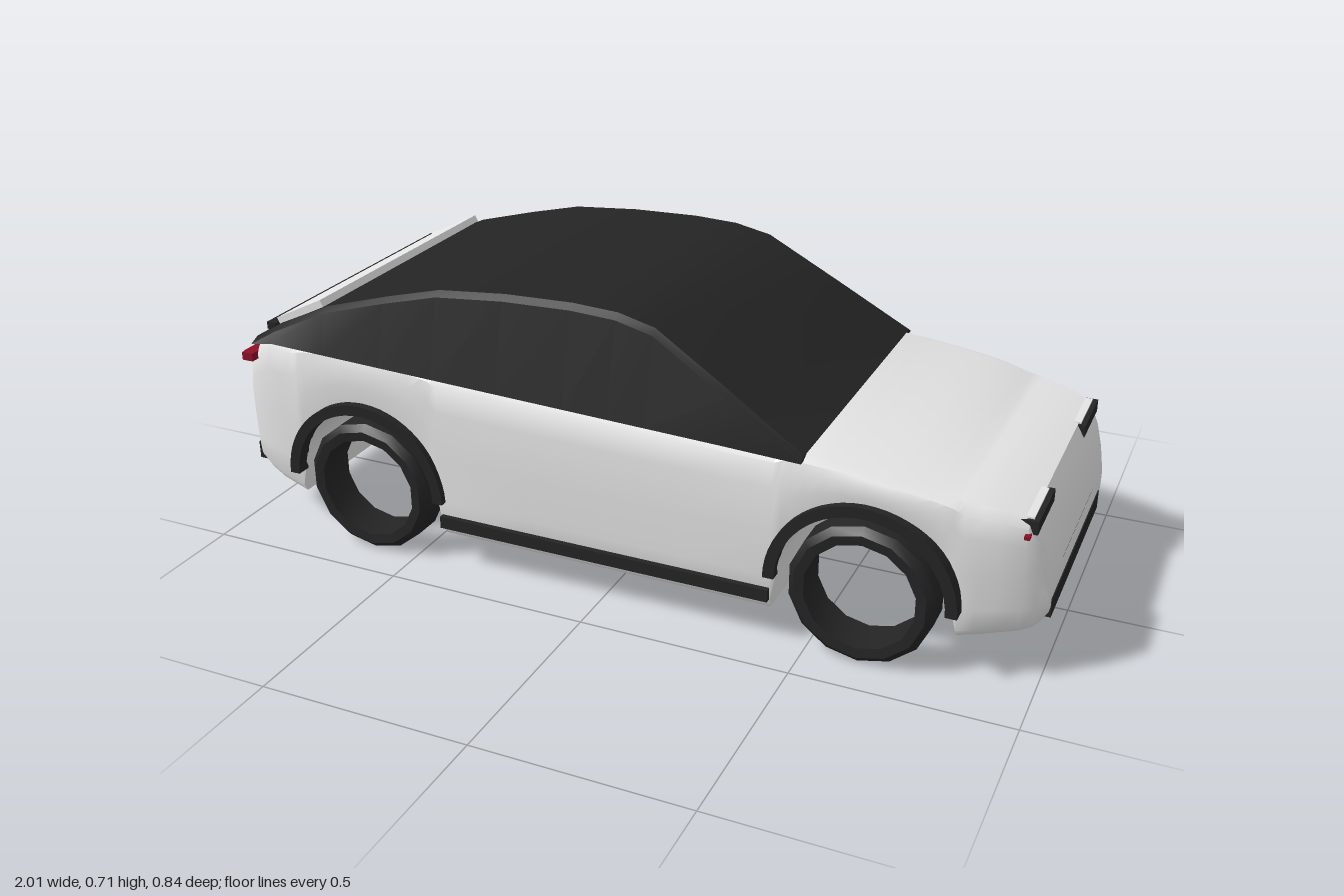
import * as THREE from 'three';
import { toCreasedNormals } from 'three/addons/utils/BufferGeometryUtils.js';

const mat = (name, color) => {
  const m = new THREE.MeshStandardMaterial({ color });
  m.name = name;
  return m;
};

// Skin a list of equal-length [x, y, z] rings, ordered from -x to +x, with fan caps
function loft(rings, crease) {
  const n = rings[0].length, pos = rings.flat(2), idx = [];
  for (let i = 0; i < rings.length - 1; i++) {
    for (let j = 0; j < n; j++) {
      const a = i * n + j, b = i * n + (j + 1) % n;
      idx.push(a, a + n, b + n, a, b + n, b);
    }
  }
  const last = (rings.length - 1) * n;
  for (let j = 1; j < n - 1; j++) {
    idx.push(0, j, j + 1, last, last + j + 1, last + j);
  }
  const g = new THREE.BufferGeometry();
  g.setAttribute('position', new THREE.Float32BufferAttribute(pos, 3));
  g.setIndex(idx);
  return toCreasedNormals(g, crease);
}

// Linear interpolation in a list of [x, value]
function along(table, x) {
  for (let i = 1; i < table.length; i++) {
    const [x0, v0] = table[i - 1], [x1, v1] = table[i];
    if (x <= x1) return v0 + (v1 - v0) * (x - x0) / (x1 - x0);
  }
  return table[table.length - 1][1];
}

// Mirror a right-hand half section [z, y] into a full ring at x
const ring = (x, half) => [
  ...half.map(([z, y]) => [x, y, z]),
  ...half.slice().reverse().map(([z, y]) => [x, y, -z]),
];

export function createModel() {
  const car = new THREE.Group();
  const white = mat('white paint', 0xe4e4e4);
  const black = mat('black trim', 0x242424);
  const grey = mat('wheel grey', 0x8c969d);
  const red = mat('lamp red', 0x8c1026);

  const add = (name, geo, material, x = 0, y = 0, z = 0, parent = car) => {
    const m = new THREE.Mesh(geo, material);
    m.name = name;
    m.position.set(x, y, z);
    parent.add(m);
    return m;
  };
  const box = (name, material, x, y, z, w, h, d, parent) =>
    add(name, new THREE.BoxGeometry(w, h, d), material, x, y, z, parent);

  const axleX = 0.62, axleY = 0.165;

  // Lower body: lofted along x, its underside rising over the wheels
  const top = [[-1, 0.39], [-0.985, 0.43], [-0.95, 0.47], [-0.9, 0.505], [-0.6, 0.5], [0.3, 0.47],
    [0.47, 0.466], [0.7, 0.435], [0.9, 0.402], [0.95, 0.388], [0.975, 0.345], [0.99, 0.29], [1, 0.23]];
  const width = [[-1, 0.325], [-0.97, 0.352], [-0.9, 0.38], [-0.8, 0.397], [-0.5, 0.405], [0.5, 0.405],
    [0.7, 0.4], [0.85, 0.38], [0.95, 0.347], [1, 0.305]];
  const bottom = [[-1, 0.14], [-0.82, 0.1], [-0.81, 0.08], [0.81, 0.08], [0.82, 0.1], [0.98, 0.13], [1, 0.16]];
  const stations = [-1, -0.985, -0.95, -0.9, -0.86, -0.2, 0, 0.2, 0.47, 0.86, 0.9, 0.95, 0.975, 0.99, 1];
  const archAt = new Map();
  for (const s of [-1, 1]) {
    for (let k = 0; k <= 12; k++) {
      const a = Math.PI * k / 12;
      const x = s * axleX + 0.19 * Math.cos(a);
      archAt.set(x, axleY + 0.19 * Math.sin(a));
      stations.push(x);
    }
    for (const e of [-1, 1]) stations.push(s * axleX + e * 0.205);
  }
  const rows = [[0, 0.95], [0.05, 0.98], [0.22, 0.99], [0.5, 1], [0.78, 1], [0.93, 0.98], [1, 0.92]];
  const sorted = [...new Set(stations)].filter(x => x !== 0.47).sort((a, b) => a - b);
  const bodyRings = sorted.map(x => {
    const b = archAt.get(x) ?? along(bottom, x), t = along(top, x), w = along(width, x);
    return ring(x, rows.map(([f, k]) => [w * k, b + (t - b) * f]));
  });
  add('body', loft(bodyRings, 0.65), white);

  // Dark cabin: side glass, windscreen and roof
  const roof = [[-0.92, 0.505], [-0.86, 0.54], [-0.72, 0.605], [-0.56, 0.65], [-0.42, 0.685], [-0.25, 0.7],
    [-0.08, 0.705], [0.03, 0.7], [0.12, 0.68], [0.3, 0.575], [0.48, 0.466]];
  const cabinRings = roof.map(([x, y]) => {
    const yb = Math.min(0.472 - 0.035 * x, y - 0.012);
    const z = 0.41 - (y - 0.455) * 0.2;
    return ring(x, [[0.408, yb], [z, Math.max(y - 0.012, yb + 0.004)], [z - 0.018, y]]);
  });
  add('cabin', loft(cabinRings, 0.4), black);

  // Tailgate panel and the lip beneath it
  const gate = box('tailgatePanel', white, -0.805, 0.575, 0, 0.145, 0.018, 0.72);
  gate.rotation.z = 0.46;
  box('tailgateLip', black, -0.885, 0.531, 0, 0.025, 0.018, 0.74);

  // Nose and tail trim
  box('upperGrille', black, 0.985, 0.21, 0, 0.03, 0.042, 0.345);
  box('lowerGrille', black, 0.985, 0.158, 0, 0.035, 0.046, 0.54);
  box('rearBumperTrim', black, -0.985, 0.155, 0, 0.04, 0.045, 0.64);
  box('tailLightBar', red, -0.977, 0.44, 0, 0.016, 0.014, 0.72);
  for (const s of [-1, 1]) {
    box('tailLight', red, -0.963, 0.44, s * 0.305, 0.03, 0.02, 0.145);
    box('headlight', black, 0.945, 0.372, s * 0.25, 0.045, 0.03, 0.165);
    box('headlightTop', white, 0.943, 0.388, s * 0.25, 0.026, 0.006, 0.145);
    box('cornerMarker', red, 0.95, 0.357, s * 0.325, 0.012, 0.008, 0.06);
    box('sill', black, 0, 0.12, s * 0.4, 0.83, 0.03, 0.025);
  }

  // Wheel arch trim: half rings
  const arc = new THREE.Shape();
  arc.absarc(0, 0, 0.216, 0, Math.PI, false);
  arc.absarc(0, 0, 0.19, Math.PI, 0, true);
  const archGeo = new THREE.ExtrudeGeometry(arc, { depth: 0.036, bevelEnabled: false, curveSegments: 14 });
  archGeo.translate(0, 0, -0.018);

  // Tyre: open ring profile turned about the axle
  const profile = [[0.127, -0.05], [0.15, -0.052], [0.166, -0.036], [0.166, 0.036], [0.15, 0.052],
    [0.127, 0.05], [0.127, -0.05]].map(p => new THREE.Vector2(...p));
  const tyreGeo = toCreasedNormals(new THREE.LatheGeometry(profile, 14).rotateX(Math.PI / 2), 0.6);
  const rimGeo = new THREE.CylinderGeometry(0.128, 0.128, 0.012, 20).rotateX(Math.PI / 2);
  const hubGeo = new THREE.CylinderGeometry(0.03, 0.03, 0.024, 12).rotateX(Math.PI / 2);

  for (const sx of [-1, 1]) {
    for (const sz of [-1, 1]) {
      add('archTrim', archGeo, black, sx * axleX, 0.17, sz * 0.4);
      const wheel = new THREE.Group();
      wheel.name = 'wheel';
      wheel.position.set(sx * axleX, axleY, sz * 0.357);
      car.add(wheel);
      add('tyre', tyreGeo, black, 0, 0, 0, wheel);
      if (sz > 0) continue; // rims are fitted on one side only
      add('rim', rimGeo, grey, 0, 0, -0.018, wheel);
      add('hub', hubGeo, grey, 0, 0, -0.034, wheel);
      for (let k = 0; k < 5; k++) {
        const a = Math.PI / 2 + k * Math.PI * 0.4;
        const spoke = box('spoke', grey, 0.07 * Math.cos(a), 0.07 * Math.sin(a), -0.032, 0.11, 0.022, 0.018, wheel);
        spoke.rotation.z = a;
      }
    }
  }
  return car;
}
